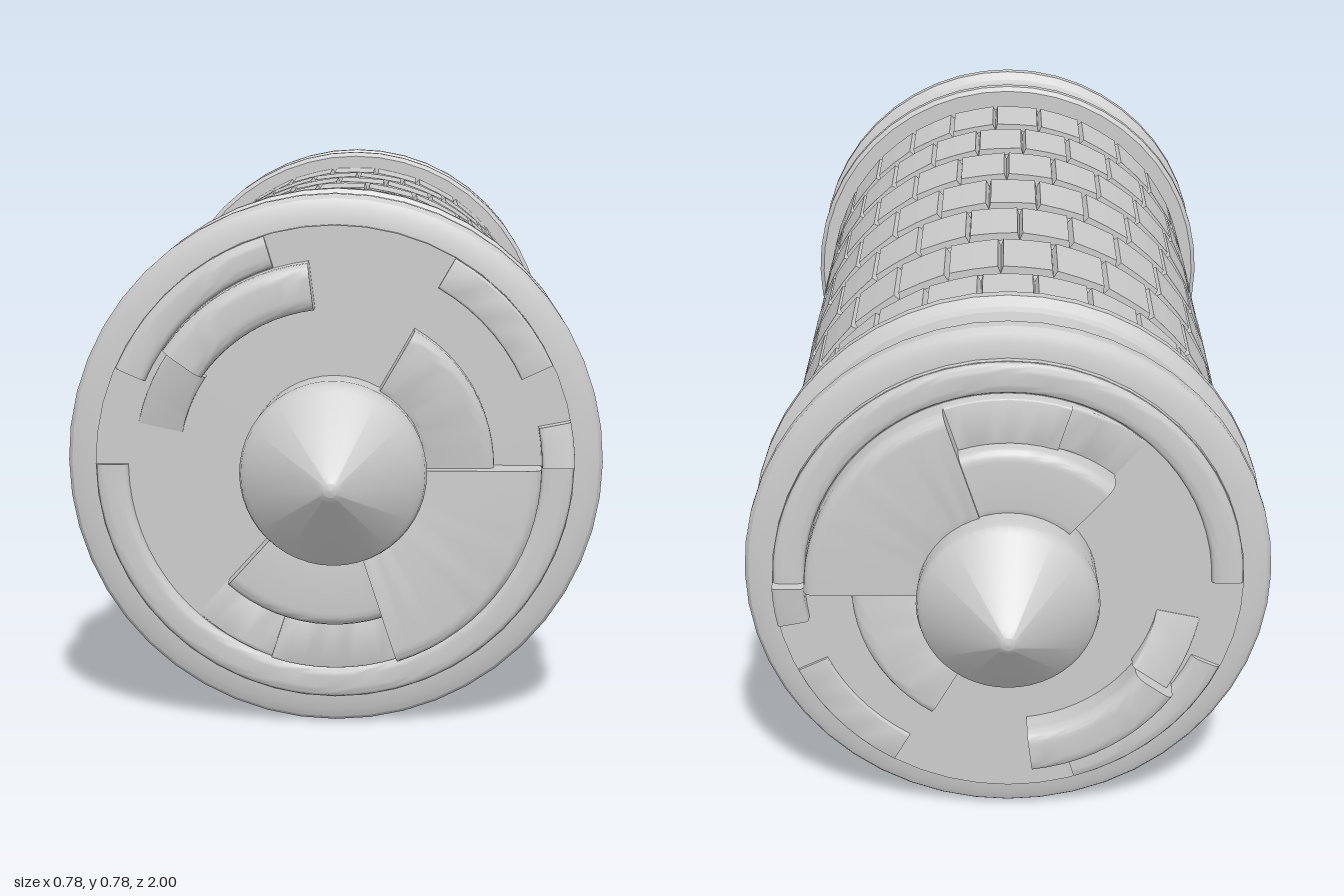
import * as THREE from 'three';
import { toCreasedNormals } from 'three/addons/utils/BufferGeometryUtils.js';

const CENTRE_Y = 0.39;
const material = new THREE.MeshStandardMaterial({ color: 0xcccccc });

function part(name, geometry, parent) {
  const mesh = new THREE.Mesh(geometry, material);
  mesh.name = name;
  parent.add(mesh);
  return mesh;
}

// Solid of revolution around z from [radius, z] points, rising in z
function turned(points) {
  const g = new THREE.LatheGeometry(points.map(([r, z]) => new THREE.Vector2(r, z)), 48);
  g.rotateX(Math.PI / 2);
  return toCreasedNormals(g, 0.5);
}

// Curved block with a rounded top, between two radii and two angles (degrees);
// its height runs from h0 at a0 to h1 at a1
function arcBlock(r0, r1, a0, a1, h0, h1, round = 0.01) {
  const s = new THREE.Shape();
  const b = 1 - Math.min(round / Math.max(h0, h1), 0.9);
  s.moveTo(r0, 0);
  s.lineTo(r1, 0);
  s.lineTo(r1, b);
  s.quadraticCurveTo(r1, 1, r1 - round, 1);
  s.lineTo(r0 + round, 1);
  s.quadraticCurveTo(r0, 1, r0, b);
  s.closePath();
  const steps = Math.ceil((a1 - a0) / 5);
  const g = new THREE.ExtrudeGeometry(s, { depth: 1, steps, bevelEnabled: false, curveSegments: 5 });
  const p = g.attributes.position;
  for (let i = 0; i < p.count; i++) {
    const t = 1 - p.getZ(i), r = p.getX(i);
    const a = THREE.MathUtils.degToRad(a0 + (a1 - a0) * t);
    p.setXYZ(i, r * Math.cos(a), r * Math.sin(a), p.getY(i) * (h0 + (h1 - h0) * t));
  }
  return toCreasedNormals(g, 0.6);
}

// Dial with flat tiles separated by V-shaped grooves
function dialGeometry(length) {
  const tiles = 26, step = (Math.PI * 2) / tiles, R = 0.359, s = new THREE.Shape();
  for (let i = 0; i < tiles; i++) {
    for (const [f, r] of [[0, R - 0.012], [0.05, R], [0.5, R - 0.001], [0.95, R]]) {
      const a = (i + f) * step, x = r * Math.cos(a), y = r * Math.sin(a);
      if (i === 0 && f === 0) s.moveTo(x, y);
      else s.lineTo(x, y);
    }
  }
  s.closePath();
  const hole = new THREE.Path();
  hole.absarc(0, 0, 0.26, 0, Math.PI * 2, true);
  s.holes.push(hole);
  return new THREE.ExtrudeGeometry(s, { depth: length, bevelEnabled: false, curveSegments: 24 });
}

// End cap facing +z
function makeCap() {
  const cap = new THREE.Group();
  part('capBody', turned([
    [0.25, 0.62], [0.382, 0.62], [0.39, 0.628], [0.39, 0.645], [0.375, 0.652], [0.37, 0.66],
    [0.37, 0.74], [0.375, 0.748], [0.39, 0.755], [0.39, 0.775], [0.384, 0.784], [0.37, 0.79],
    [0.347, 0.792], [0.347, 0.803], [0, 0.803],
  ]), cap);

  // Central pointed knob
  part('knob', turned([
    [0.13, 0.79], [0.133, 0.875], [0.13, 0.888], [0.122, 0.897], [0.02, 0.988], [0.01, 0.997], [0, 1],
  ]), cap);

  // Raised curved pieces of the face: inner radius, outer radius, angles, heights, rounding
  const pieces = [
    ['outerLip', 0.299, 0.346, 180, 360, 0.012, 0.012, 0.015],
    ['outerUpperLip', 0.299, 0.346, 107, 156, 0.012, 0.012, 0.015],
    ['outerSideLip', 0.297, 0.346, 25, 60, 0.008, 0.008, 0.004],
    ['outerStop', 0.299, 0.346, 0, 11, 0.03, 0.022, 0.008],
    ['upperArc', 0.23, 0.298, 97, 145, 0.055, 0.055, 0.02],
    ['upperRamp', 0.225, 0.29, 145, 168, 0.028, 0.004, 0.008],
    ['sideArc', 0.12, 0.23, 0, 60, 0.03, 0.05, 0.02],
    ['broadArc', 0.12, 0.298, -72, 0, 0.055, 0.05, 0.02],
    ['lowerArc', 0.12, 0.23, -132, -72, 0.05, 0.05, 0.02],
    ['lowerStep', 0.228, 0.298, -108, -72, 0.025, 0.025, 0.004],
    ['lowerRamp', 0.228, 0.298, -132, -108, 0.003, 0.018, 0.006],
  ];
  for (const [name, ...spec] of pieces) part(name, arcBlock(...spec), cap).position.z = 0.8;

  // Small alignment pointer on the side of the band
  const pointer = part('alignmentPointer', new THREE.CylinderGeometry(0.042, 0.042, 0.03, 3), cap);
  pointer.rotation.set(0, Math.PI, Math.PI / 2);
  pointer.position.set(-0.37, 0, 0.7);
  return cap;
}

export function createModel() {
  const model = new THREE.Group();
  model.name = 'dialCylinder';
  const body = new THREE.Group();
  body.name = 'body';
  body.position.y = CENTRE_Y;
  model.add(body);

  // Inner core and the two sleeves seen between the dials
  part('core', turned([[0, -0.63], [0.262, -0.63], [0.262, 0.63], [0, 0.63]]), body);
  for (const [name, z0, z1] of [['frontSleeve', 0.105, 0.63], ['backSleeve', -0.63, 0.065]]) {
    part(name, turned([[0.25, z0], [0.346, z0], [0.346, z1], [0.25, z1]]), body);
  }

  // Seven dials, each turned by a slightly different amount
  for (let i = -3; i <= 3; i++) {
    const z0 = i === -3 ? -0.622 : i * 0.174 - 0.07;
    const dial = part('dial', dialGeometry(i * 0.174 + 0.07 - z0), body);
    dial.position.z = z0;
    dial.rotation.z = ((i + 3) * 0.37 % 1) * 0.24;
  }

  // Matching caps, the back one turned over about x
  const front = makeCap();
  front.name = 'frontCap';
  const back = makeCap();
  back.name = 'backCap';
  back.rotation.x = Math.PI;
  body.add(front, back);
  return model;
}
